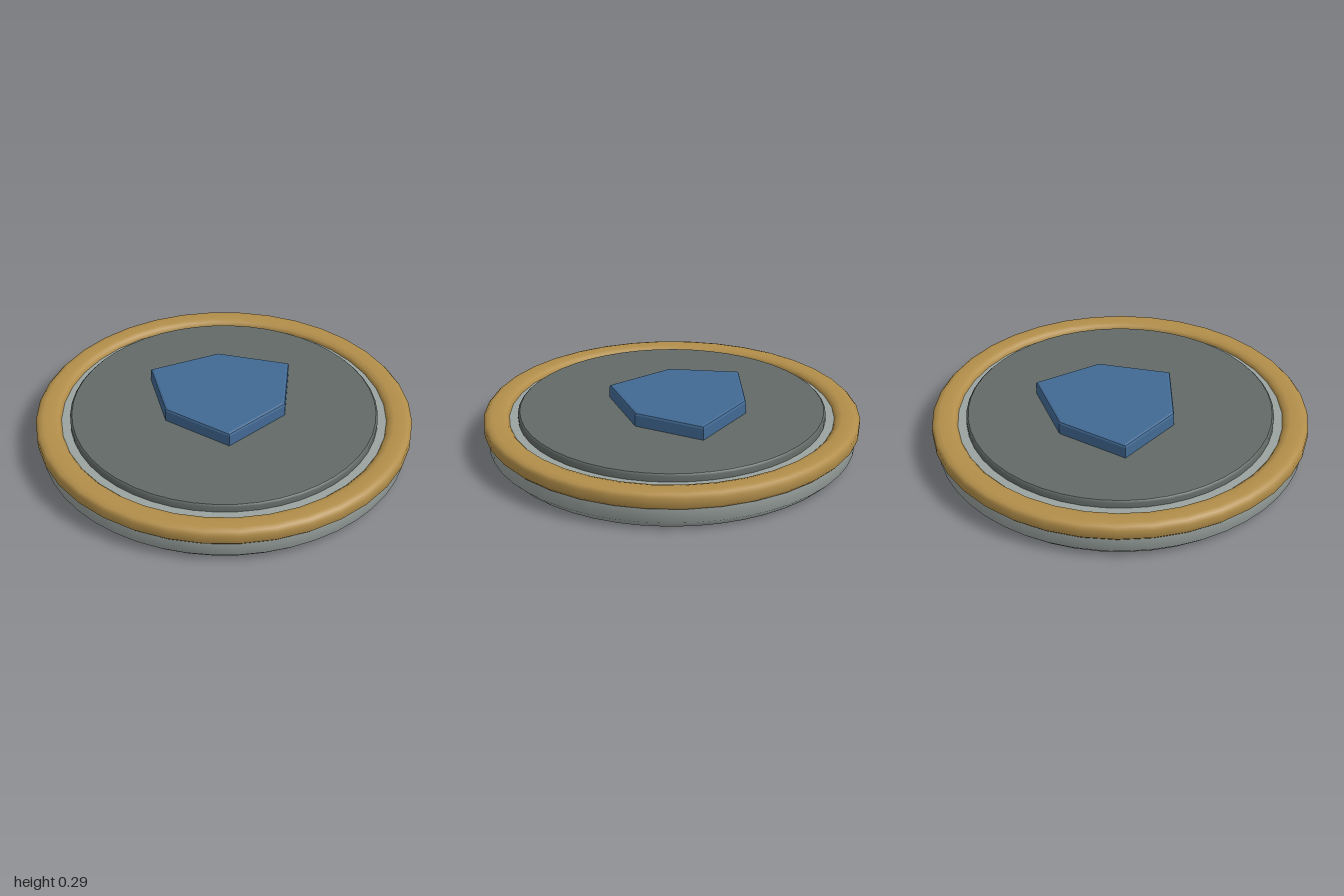
import * as THREE from 'three';

const material = (name, color) => {
  const m = new THREE.MeshStandardMaterial({ color });
  m.name = name;
  return m;
};

// Turns [radius, height] pairs around the y axis, listed bottom to top on the outside
function turned(name, profile, segments, mat) {
  const points = profile.map(([r, y]) => new THREE.Vector2(r, y));
  const mesh = new THREE.Mesh(new THREE.LatheGeometry(points, segments), mat);
  mesh.name = name;
  return mesh;
}

// Flat cap that keeps a crisp edge against the turned side
function cap(name, radius, y, segments, up, mat) {
  const geometry = new THREE.CircleGeometry(radius, segments);
  geometry.rotateX(up ? -Math.PI / 2 : Math.PI / 2);
  geometry.translate(0, y, 0);
  const mesh = new THREE.Mesh(geometry, mat);
  mesh.name = name;
  return mesh;
}

export function createModel() {
  const stone = material('pale grey', 0x9aa39f);
  const slate = material('dark grey', 0x626a66);
  const gold = material('gold', 0xb28e4a);
  const blue = material('blue', 0x426a94);

  const model = new THREE.Group();
  model.name = 'emblemDisc';

  // Base with a chamfered foot
  const base = new THREE.Group();
  base.name = 'base';
  base.add(
    turned('baseSide', [[0.935, 0], [0.978, 0.043], [0.978, 0.15], [0.95, 0.175]], 48, stone),
    cap('baseBottom', 0.935, 0, 48, false, stone),
    cap('baseTop', 0.95, 0.175, 48, true, stone),
  );
  model.add(base);

  // Rounded rim
  model.add(turned('rim', [
    [0.87, 0.112], [0.96, 0.112], [0.985, 0.119], [1, 0.135], [1, 0.18], [0.985, 0.196],
    [0.96, 0.203], [0.905, 0.203], [0.88, 0.194], [0.865, 0.178], [0.865, 0.135], [0.87, 0.112],
  ], 36, gold));

  // Raised inner plate
  const plate = new THREE.Group();
  plate.name = 'plate';
  plate.add(
    turned('plateSide', [[0.818, 0.17], [0.818, 0.204], [0.808, 0.214]], 48, slate),
    cap('plateTop', 0.808, 0.214, 48, true, slate),
  );
  model.add(plate);

  // Five-cornered shield with bevelled edges
  const outline = [[0, 0.405], [-0.38, 0.275], [-0.315, -0.105], [0, -0.35], [0.315, -0.105], [0.38, 0.275]];
  const bevel = 0.014;
  const geometry = new THREE.ExtrudeGeometry(
    new THREE.Shape(outline.map(([x, y]) => new THREE.Vector2(x, y))),
    {
      depth: 0.088 - 2 * bevel, bevelEnabled: true, bevelSegments: 2,
      bevelSize: bevel, bevelThickness: bevel, bevelOffset: -bevel,
    },
  );
  geometry.rotateX(-Math.PI / 2);
  geometry.translate(0, 0.201 + bevel, 0);
  const shield = new THREE.Mesh(geometry, blue);
  shield.name = 'shield';
  model.add(shield);

  return model;
}
